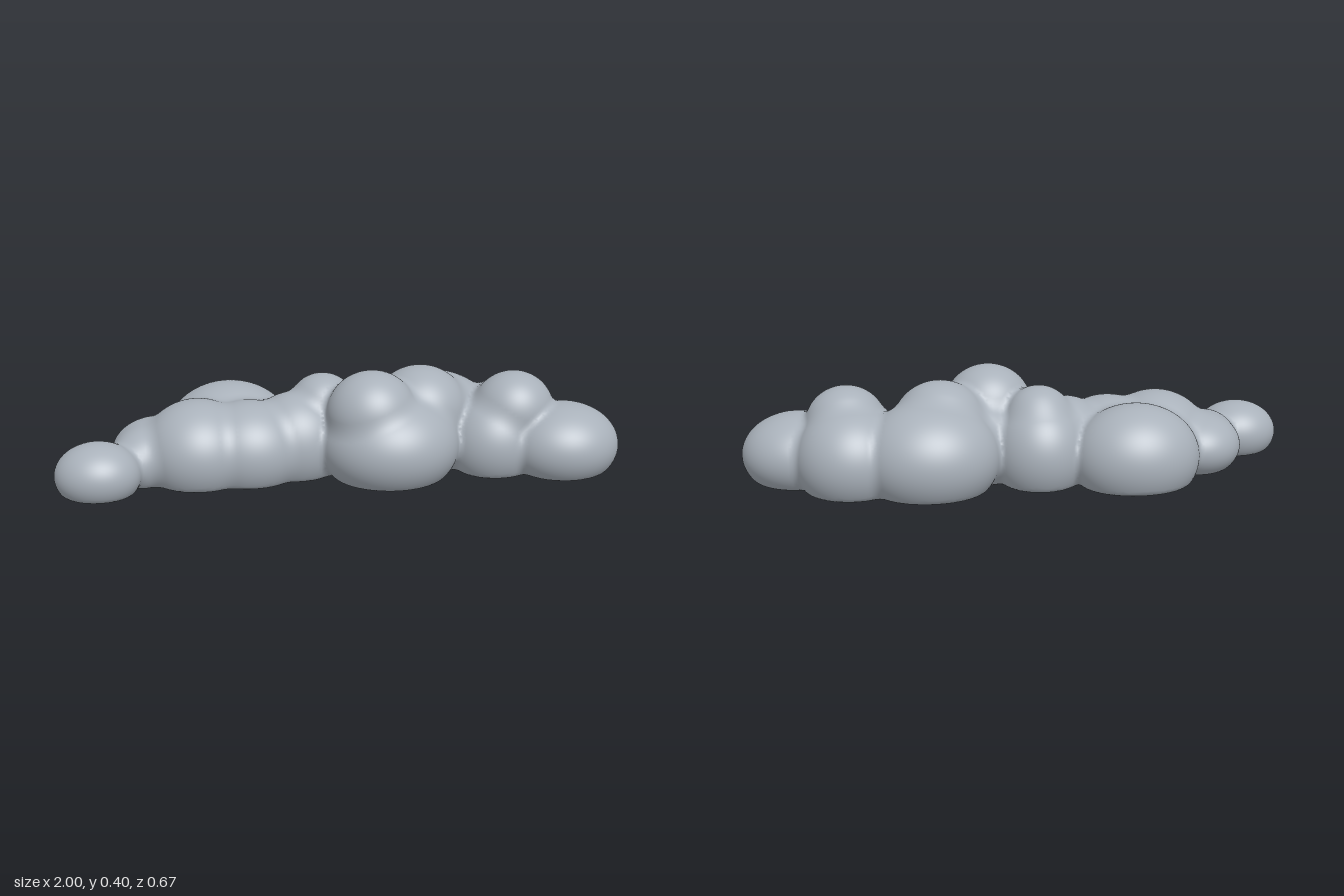
import * as THREE from 'three';

// Puffs of the cloud: centre x, y, z and radii x, y, z
const puffs = [
  [-0.85, 0.085, 0.19, 0.15, 0.115, 0.135], // left tip
  [-0.64, 0.10, 0.01, 0.165, 0.12, 0.175],  // left shoulder
  [-0.70, 0.09, 0.08, 0.11, 0.11, 0.11],    // neck to the tip
  [-0.50, 0.11, 0.05, 0.20, 0.185, 0.20],   // front left
  [-0.32, 0.11, 0.05, 0.20, 0.175, 0.185],  // front left, inner
  [-0.38, 0.11, -0.14, 0.23, 0.19, 0.20],   // back left
  [-0.15, 0.12, 0.01, 0.18, 0.18, 0.17],    // middle
  [-0.05, 0.12, -0.06, 0.17, 0.19, 0.175],  // middle back
  [-0.05, 0.24, -0.03, 0.12, 0.115, 0.12],  // middle crest
  [0.175, 0.13, 0.095, 0.25, 0.19, 0.24],   // big front
  [0.11, 0.25, 0.12, 0.16, 0.153, 0.155],   // front crest
  [0.35, 0.13, -0.09, 0.25, 0.20, 0.225],   // big back
  [0.30, 0.22, 0.0, 0.17, 0.16, 0.17],      // back crest
  [0.62, 0.12, -0.03, 0.20, 0.19, 0.20],    // right back
  [0.56, 0.11, 0.06, 0.17, 0.17, 0.165],    // right front
  [0.63, 0.225, 0.05, 0.145, 0.14, 0.14],   // right crest
  [0.80, 0.11, 0.11, 0.20, 0.15, 0.187],    // right tip
];

function blend(a, b, k) {
  const h = Math.max(k - Math.abs(a - b), 0) / k;
  return Math.min(a, b) - h * h * k * 0.25;
}

// Signed distance: puffs softly joined, then cut by a very slightly bowed base
function distance(x, y, z) {
  let d = 1;
  for (const [cx, cy, cz, rx, ry, rz] of puffs) {
    const px = (x - cx) / rx, py = (y - cy) / ry, pz = (z - cz) / rz;
    const k0 = Math.hypot(px, py, pz);
    const k1 = Math.hypot(px / rx, py / ry, pz / rz) + 1e-6;
    d = blend(d, k0 * (k0 - 1) / k1, 0.025);
  }
  const base = 0.004 + 0.1 * z * z + 0.004 * x * x - y;
  return -blend(-d, -base, 0.02);
}

function gradient(x, y, z) {
  const e = 0.002;
  return new THREE.Vector3(
    distance(x + e, y, z) - distance(x - e, y, z),
    distance(x, y + e, z) - distance(x, y - e, z),
    distance(x, y, z + e) - distance(x, y, z - e)
  ).divideScalar(2 * e);
}

// Skin the distance function with a grid of quads (surface nets)
function skin(min, max, cell) {
  const n = min.map((m, a) => Math.ceil((max[a] - m) / cell) + 1);
  const step = [1, n[0], n[0] * n[1]];
  const field = new Float32Array(n[0] * n[1] * n[2]);
  const at = (i, a) => min[a] + i * cell;
  const eachPoint = (visit) => {
    for (let k = 0; k < n[2]; k++)
      for (let j = 0; j < n[1]; j++)
        for (let i = 0; i < n[0]; i++) visit([i, j, k], i + j * step[1] + k * step[2]);
  };
  eachPoint((g, id) => { field[id] = distance(at(g[0], 0), at(g[1], 1), at(g[2], 2)); });

  // One vertex for each cell the surface crosses
  const vertexOf = new Map(), positions = [], normals = [], indices = [];
  eachPoint((g, id) => {
    if (g.some((v, a) => v >= n[a] - 1)) return;
    const sum = new THREE.Vector3();
    let count = 0;
    for (let c = 0; c < 8; c++) {
      const bits = [c & 1, (c >> 1) & 1, c >> 2];
      const p = id + bits[0] * step[0] + bits[1] * step[1] + bits[2] * step[2];
      for (let a = 0; a < 3; a++) {
        if (bits[a]) continue;
        const d0 = field[p], d1 = field[p + step[a]];
        if ((d0 < 0) === (d1 < 0)) continue;
        const q = bits.slice();
        q[a] = d0 / (d0 - d1);
        sum.add(new THREE.Vector3(...q));
        count++;
      }
    }
    if (!count) return;
    const v = sum.multiplyScalar(cell / count);
    v.add(new THREE.Vector3(at(g[0], 0), at(g[1], 1), at(g[2], 2)));
    // Pull the vertex onto the exact surface
    const slope = gradient(v.x, v.y, v.z);
    v.addScaledVector(slope, -distance(v.x, v.y, v.z) / Math.max(slope.lengthSq(), 0.3));
    const normal = gradient(v.x, v.y, v.z).normalize();
    vertexOf.set(id, positions.length / 3);
    positions.push(v.x, v.y, v.z);
    normals.push(normal.x, normal.y, normal.z);
  });

  // One quad for each grid edge the surface crosses
  eachPoint((g, id) => {
    for (let a = 0; a < 3; a++) {
      if (g[a] >= n[a] - 1) continue;
      const inside = field[id] < 0;
      if (inside === (field[id + step[a]] < 0)) continue;
      const u = step[(a + 1) % 3], w = step[(a + 2) % 3];
      const q = [id, id - u, id - u - w, id - w].map((c) => vertexOf.get(c));
      if (!inside) q.reverse();
      indices.push(q[0], q[1], q[2], q[0], q[2], q[3]);
    }
  });

  const geometry = new THREE.BufferGeometry();
  geometry.setAttribute('position', new THREE.Float32BufferAttribute(positions, 3));
  geometry.setAttribute('normal', new THREE.Float32BufferAttribute(normals, 3));
  geometry.setIndex(indices);
  return geometry;
}

export function createModel() {
  const cloudGrey = new THREE.MeshStandardMaterial({ color: 0xa9b1ba });
  cloudGrey.name = 'cloudGrey';

  const cloud = new THREE.Mesh(skin([-1.04, -0.03, -0.39], [1.04, 0.45, 0.39], 0.0125), cloudGrey);
  cloud.name = 'cloud';

  const model = new THREE.Group();
  model.name = 'flatBottomedCloud';
  model.add(cloud);
  return model;
}
